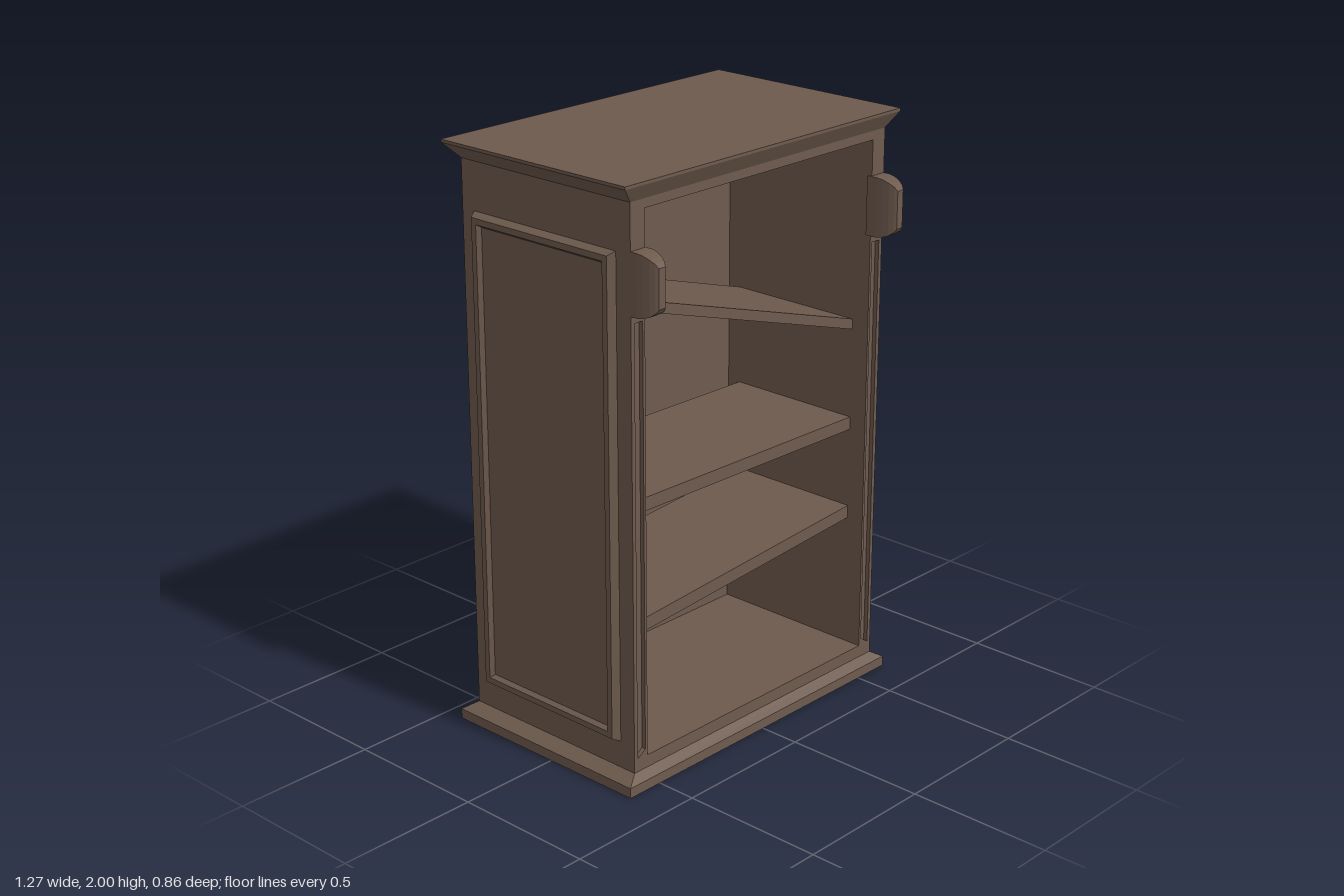
import * as THREE from 'three';

const wood = new THREE.MeshStandardMaterial({ color: 0x6d5a4d });
wood.name = 'brown wood';

// Faceted solid through rectangles [u0, u1, v0, v1, w], listed with the outward end last
function rectLoft(rings) {
  const loops = rings.map(([a, b, c, d, w]) => [[a, c, w], [b, c, w], [b, d, w], [a, d, w]]);
  const pos = [];
  const quad = (a, b, c, d) => pos.push(...a, ...b, ...c, ...a, ...c, ...d);
  for (let k = 0; k < loops.length - 1; k++) {
    for (let i = 0; i < 4; i++) {
      const j = (i + 1) % 4;
      quad(loops[k][i], loops[k][j], loops[k + 1][j], loops[k + 1][i]);
    }
  }
  const [s, e] = [loops[0], loops[loops.length - 1]];
  quad(s[3], s[2], s[1], s[0]);
  quad(...e);
  const g = new THREE.BufferGeometry();
  g.setAttribute('position', new THREE.Float32BufferAttribute(pos, 3));
  g.computeVertexNormals();
  return g;
}

const polygon = (pts, Type = THREE.Shape) => new Type(pts.map(p => new THREE.Vector2(...p)));

export function createModel() {
  const model = new THREE.Group();
  model.name = 'bookcase';

  const add = (name, geometry) => {
    const mesh = new THREE.Mesh(geometry, wood);
    mesh.name = name;
    model.add(mesh);
    return mesh;
  };
  const box = (name, x0, x1, y0, y1, z0, z1) =>
    add(name, new THREE.BoxGeometry(x1 - x0, y1 - y0, z1 - z0))
      .position.set((x0 + x1) / 2, (y0 + y1) / 2, (z0 + z1) / 2);

  // Carcass
  box('backPanel', -0.59, 0.59, 0.03, 1.97, -0.39, -0.28);
  box('floorPanel', -0.53, 0.53, 0.03, 0.105, -0.28, 0.32);
  box('ceilingPanel', -0.53, 0.53, 1.91, 1.97, -0.28, 0.32);
  box('rightWall', -0.59, -0.53, 0.03, 1.97, -0.28, 0.32);
  box('leftWall', 0.53, 0.59, 0.03, 1.97, -0.28, 0.32);

  // Face frame with the shelf opening and a sunk strip in each stile
  const frame = polygon([[-0.59, 0.03], [0.59, 0.03], [0.59, 1.97], [-0.59, 1.97]]);
  frame.holes.push(polygon([[-0.53, 0.105], [-0.53, 1.91], [0.53, 1.91], [0.53, 0.105]], THREE.Path));
  for (const s of [-1, 1]) {
    frame.holes.push(polygon(
      [[s * 0.575, 0.107], [s * 0.54, 0.13], [s * 0.54, 1.565], [s * 0.575, 1.565]], THREE.Path));
  }
  add('faceFrame', new THREE.ExtrudeGeometry(frame, { depth: 0.015, bevelEnabled: false }))
    .position.z = 0.32;

  // Plinth and cornice, flaring past the carcass
  const inner = [-0.59, 0.59, -0.335, 0.39];
  const outer = [-0.635, 0.635, -0.36, 0.43];
  const plinth = rectLoft([[...outer, 0], [...outer, 0.035], [...inner, 0.062]]);
  add('plinth', plinth.rotateX(-Math.PI / 2));
  const cornice = rectLoft([[...inner, 1.94], [...outer, 1.99], [...outer, 2]]);
  add('cornice', cornice.rotateX(-Math.PI / 2));

  // Raised moulding with a sunk field on each side
  const inset = (s, d, w) => {
    const [u0, u1] = s > 0 ? [-0.275, 0.335] : [-0.335, 0.275];
    return [u0 + d, u1 - d, 0.157 + d, 1.78 - d, w];
  };
  for (const s of [1, -1]) {
    const g = rectLoft([inset(s, 0, 0.58), inset(s, 0, 0.593), inset(s, 0.012, 0.617),
      inset(s, 0.032, 0.617), inset(s, 0.042, 0.602)]);
    add(s > 0 ? 'leftSidePanel' : 'rightSidePanel', g.rotateY(s * Math.PI / 2));
  }

  // Corbels: [half width, bottom, top, z]
  const sections = [
    [0.033, 1.59, 1.79, 0.32], [0.033, 1.59, 1.79, 0.36], [0.030, 1.593, 1.787, 0.382],
    [0.026, 1.602, 1.778, 0.405], [0.020, 1.614, 1.768, 0.422], [0.014, 1.628, 1.755, 0.432],
  ];
  for (const s of [1, -1]) {
    const g = rectLoft(sections.map(([h, y0, y1, z]) => [-h, h, y0, y1, z]));
    add(s > 0 ? 'leftCorbel' : 'rightCorbel', g).position.x = s * 0.557;
  }

  // Crooked shelves: [top at -x, top at +x, thickness]
  const shelves = [[1.615, 1.288, 0.036], [0.955, 0.94, 0.045], [0.54, 0.616, 0.045]];
  shelves.forEach(([a, b, t], i) => {
    const shape = polygon([[-0.53, a - t], [0.53, b - t], [0.53, b], [-0.53, a]]);
    add('shelf' + (i + 1), new THREE.ExtrudeGeometry(shape, { depth: 0.5, bevelEnabled: false }))
      .position.z = -0.23;
  });

  return model;
}
